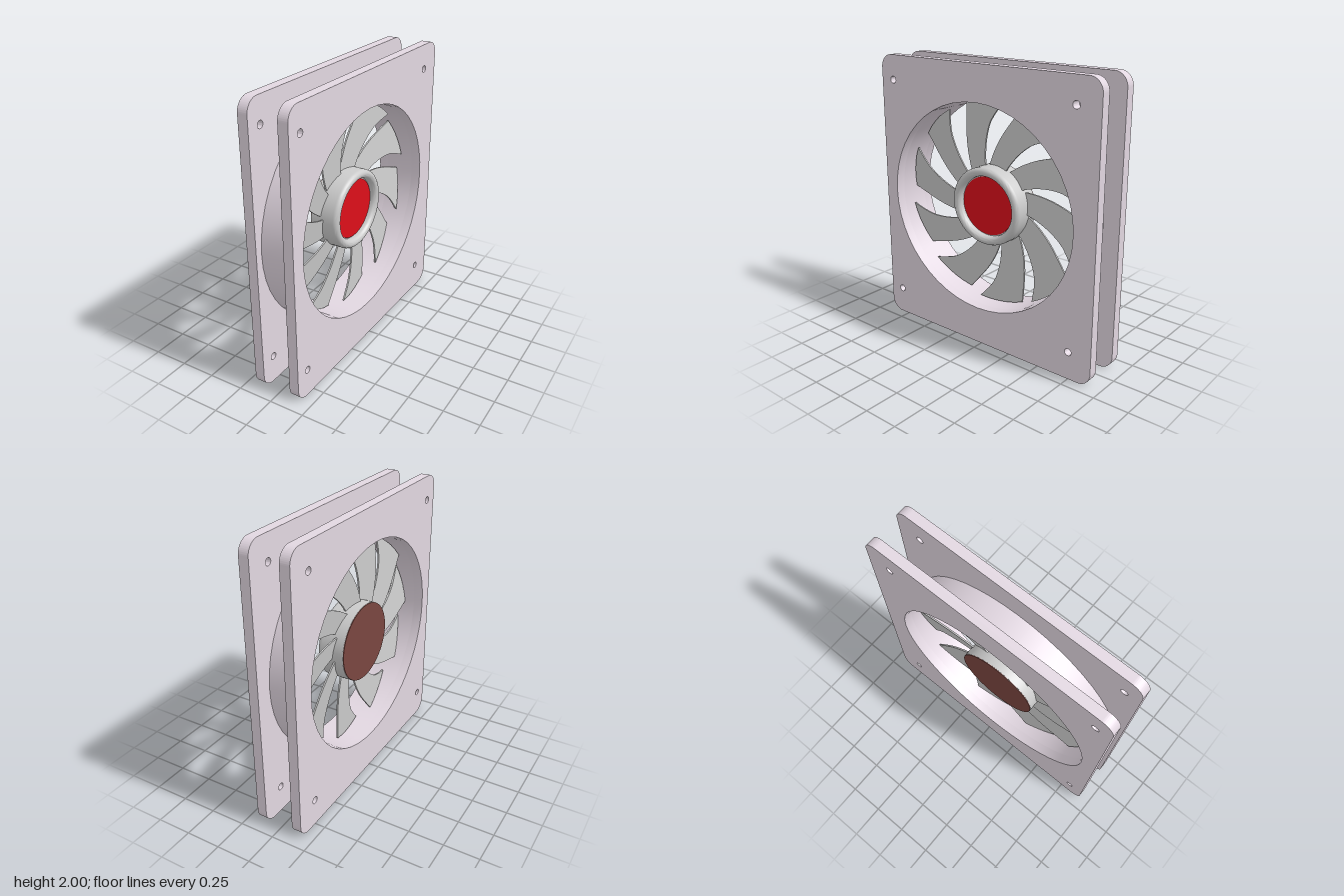
import * as THREE from 'three';
import { toCreasedNormals } from 'three/addons/utils/BufferGeometryUtils.js';

const paint = (color) => new THREE.MeshStandardMaterial({ color });
const frameMat = paint(0xe2d7e1);
const greyMat = paint(0xcccccc);
const redMat = paint(0xdd0f1a);
const brownMat = paint(0x7a4640);

// The rotor and duct are slightly wider than tall
const CY = 1.008, CZ = 0.033, STRETCH = 1.065, BORE = 0.738;

function addMesh(parent, name, geometry, material) {
  const mesh = new THREE.Mesh(geometry, material);
  mesh.name = name;
  parent.add(mesh);
  return mesh;
}

// Extrudes a side-on outline (horizontal = -z, vertical = y) from x0 to x1
function extrudeX(shape, x0, x1) {
  const g = new THREE.ExtrudeGeometry(shape, { depth: x1 - x0, bevelEnabled: false, curveSegments: 24 });
  g.translate(0, 0, x0);
  g.rotateY(Math.PI / 2);
  return toCreasedNormals(g, 0.5);
}

function ellipse(path, cx, cy, rx, ry) {
  path.absellipse(cx, cy, rx, ry, 0, Math.PI * 2, false);
  return path;
}

function plateShape() {
  const w = 0.92, r = 0.095;
  const s = new THREE.Shape();
  s.absarc(w - r, r, r, -Math.PI / 2, 0, false);
  s.absarc(w - r, 2 - r, r, 0, Math.PI / 2, false);
  s.absarc(-w + r, 2 - r, r, Math.PI / 2, Math.PI, false);
  s.absarc(-w + r, r, r, Math.PI, Math.PI * 1.5, false);
  s.closePath();
  // Central bore and four screw holes
  s.holes.push(ellipse(new THREE.Path(), -CZ, CY, BORE * STRETCH, BORE));
  for (const sx of [-1, 1]) for (const sy of [-1, 1])
    s.holes.push(ellipse(new THREE.Path(), -CZ + sx * 0.777, 1.01 + sy * 0.813, 0.026, 0.025));
  return s;
}

// Swept blade: both edges given as radius (fraction of bore) and angle in degrees
function bladeGeometry() {
  const polar = ([r, deg]) => {
    const a = THREE.MathUtils.degToRad(deg);
    return new THREE.Vector2(Math.cos(a), Math.sin(a)).multiplyScalar(r * BORE);
  };
  const leading = [[0.33, 32], [0.5, 20], [0.7, 10.5], [0.985, 1]].map(polar);
  const trailing = [[0.975, -25], [0.8, -17], [0.62, -11], [0.45, -6], [0.33, -3]].map(polar);
  const tip = [[0.985, -5], [0.984, -10], [0.982, -15], [0.979, -20]].map(polar);
  const outline = [
    ...new THREE.SplineCurve(leading).getPoints(12),
    ...tip,
    ...new THREE.SplineCurve(trailing).getPoints(12),
  ];
  const g = extrudeX(new THREE.Shape(outline), -0.006, 0.006);
  // Pitch the blade about its own length
  const p = g.attributes.position;
  const mid = THREE.MathUtils.degToRad(-8);
  for (let i = 0; i < p.count; i++) {
    const across = p.getY(i) * Math.cos(mid) + p.getZ(i) * Math.sin(mid);
    p.setX(i, p.getX(i) - 0.012 - 0.15 * across);
  }
  return toCreasedNormals(g, 0.5);
}

// Solid of revolution about the x axis
function latheX(points) {
  const g = new THREE.LatheGeometry(points.map(([r, x]) => new THREE.Vector2(r, x)), 64);
  g.rotateZ(-Math.PI / 2);
  return toCreasedNormals(g, 0.6);
}

export function createModel() {
  const model = new THREE.Group();
  model.name = 'coolingFan';

  // Frame: two plates joined by the round duct
  const plate = plateShape();
  addMesh(model, 'rightPlate', extrudeX(plate, -0.175, -0.105), frameMat);
  addMesh(model, 'leftPlate', extrudeX(plate, 0.1, 0.17), frameMat);
  const ring = ellipse(new THREE.Shape(), -CZ, CY, 0.836, 0.791);
  ring.holes.push(ellipse(new THREE.Path(), -CZ, CY, BORE * STRETCH, BORE));
  addMesh(model, 'duct', extrudeX(ring, -0.105, 0.1), frameMat);

  // Rotor
  const rotor = new THREE.Group();
  rotor.name = 'rotor';
  rotor.position.set(0, CY, CZ);
  rotor.scale.z = STRETCH;
  model.add(rotor);

  const blade = bladeGeometry();
  for (let i = 0; i < 10; i++)
    addMesh(rotor, 'blade', blade, greyMat).rotation.x = (i * Math.PI) / 5;

  // Hub with a rounded rim around a recessed face
  const profile = [[0, -0.104], [0.278, -0.104]];
  for (let i = 0; i <= 12; i++) {
    const a = (i / 12) * Math.PI;
    profile.push([0.247 + 0.031 * Math.cos(a), 0.064 + 0.034 * Math.sin(a)]);
  }
  profile.push([0.216, 0.046], [0, 0.046]);
  addMesh(rotor, 'hub', latheX(profile), greyMat);
  addMesh(rotor, 'hubCap', latheX([[0, 0.046], [0.209, 0.046], [0.209, 0.053], [0, 0.053]]), redMat);
  addMesh(rotor, 'hubBack', latheX([[0, -0.109], [0.276, -0.109], [0.276, -0.104], [0, -0.104]]), brownMat);

  return model;
}
